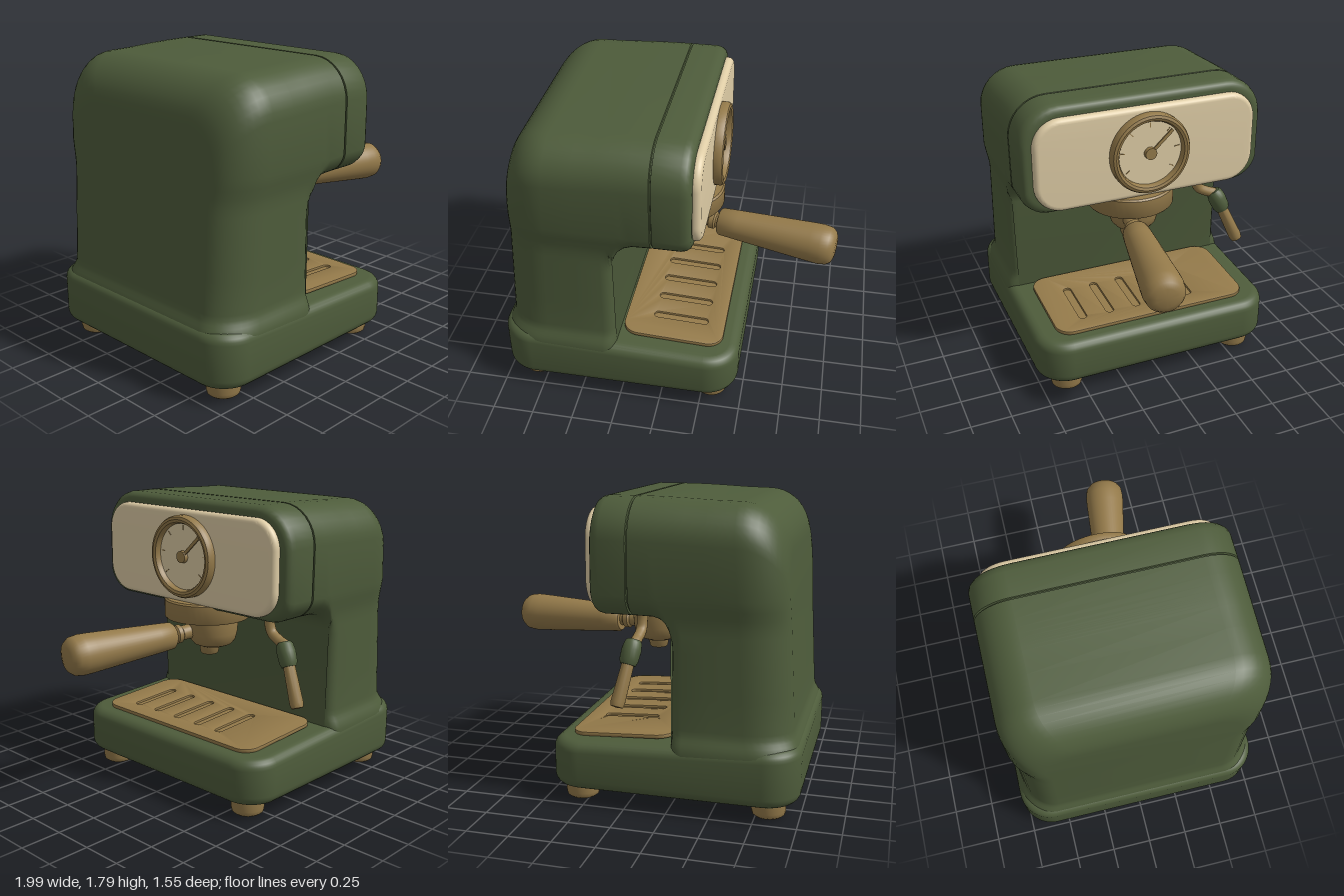
import * as THREE from 'three';
import { toCreasedNormals } from 'three/addons/utils/BufferGeometryUtils.js';

const V = (x, y, z) => new THREE.Vector3(x, y, z);
const smooth = THREE.MathUtils.smoothstep;

export function createModel() {
  const model = new THREE.Group();
  model.name = 'espressoMachine';
  const paint = (name, color) => {
    const m = new THREE.MeshStandardMaterial({ color });
    m.name = name;
    return m;
  };
  const green = paint('olive green', 0x4e5c3b);
  const brass = paint('brass', 0x947a4a);
  const cream = paint('cream', 0xdfcda6);

  const add = (name, geo, mat, pos = [0, 0, 0], parent = model) => {
    const mesh = new THREE.Mesh(geo, mat);
    mesh.name = name;
    mesh.position.set(...pos);
    parent.add(mesh);
    return mesh;
  };
  // Stand a y-axis part at one point so that it aims at another
  const aim = (mesh, from, to) => {
    mesh.position.copy(from);
    mesh.quaternion.setFromUnitVectors(V(0, 1, 0), to.clone().sub(from).normalize());
    return mesh;
  };
  const lathe = (pts, seg = 40) => toCreasedNormals(
    new THREE.LatheGeometry(pts.map(p => new THREE.Vector2(...p)), seg), 0.7);
  const rounded = (cx, cy, w, h, r, Type = THREE.Shape) => {
    const s = new Type(), a = w / 2 - r, b = h / 2 - r;
    s.absarc(cx + a, cy + b, r, 0, Math.PI / 2);
    s.absarc(cx - a, cy + b, r, Math.PI / 2, Math.PI);
    s.absarc(cx - a, cy - b, r, Math.PI, Math.PI * 1.5);
    s.absarc(cx + a, cy - b, r, Math.PI * 1.5, Math.PI * 2);
    s.closePath();
    return s;
  };
  const slab = (shape, depth, bevel, segs = 5) => new THREE.ExtrudeGeometry(shape, {
    depth: depth - 2 * bevel, bevelThickness: bevel, bevelSize: bevel,
    bevelOffset: -bevel, bevelSegments: segs, curveSegments: 10,
  }).translate(0, 0, bevel);

  // Base: rounded slab whose top slopes down to the front
  const base = slab(rounded(-0.265, 0, 1.47, 1.55, 0.2), 0.31, 0.06).rotateX(-Math.PI / 2);
  const bp = base.attributes.position;
  for (let i = 0; i < bp.count; i++) {
    if (bp.getY(i) > 0.15) bp.setY(i, bp.getY(i) - 0.037 * (bp.getX(i) + 0.27));
  }
  add('base', toCreasedNormals(base, 0.6), green, [0, 0.095, 0]);

  add('body', bodyGeometry(), green);

  // Feet
  for (const x of [-0.82, 0.305]) for (const z of [-0.585, 0.585]) {
    add('foot', lathe([[0, 0], [0.08, 0], [0.095, 0.012], [0.1, 0.035], [0.1, 0.12]], 24), brass, [x, 0, z]);
  }

  // Drip tray with five slots
  const tray = new THREE.Group();
  tray.name = 'dripTray';
  tray.position.set(0.055, 0.396, 0);
  tray.rotation.z = -0.05;
  model.add(tray);
  const trayShape = rounded(0, 0, 0.62, 1.27, 0.1);
  for (const z of [0.44, 0.26, 0.08, -0.1, -0.28]) {
    trayShape.holes.push(rounded(0.03, -z, 0.34, 0.05, 0.024, THREE.Path));
  }
  add('trayGrille', toCreasedNormals(slab(trayShape, 0.024, 0.005, 2), 0.6).rotateX(-Math.PI / 2), brass, [0, 0, 0], tray);
  add('trayFloor', new THREE.BoxGeometry(0.5, 0.006, 1.1), brass, [0, 0.007, 0], tray);

  // Front panel
  add('frontPanel', toCreasedNormals(slab(rounded(0, 0, 1.4, 0.57, 0.17), 0.07, 0.03), 0.6)
    .rotateY(Math.PI / 2), cream, [0.165, 1.445, 0]);

  // Pressure gauge, built facing up and turned to face forward
  const gauge = new THREE.Group();
  gauge.name = 'gauge';
  gauge.position.set(0.225, 1.45, 0);
  gauge.rotation.z = -Math.PI / 2;
  model.add(gauge);
  add('gaugeRing', lathe([[0.242, -0.02], [0.25, 0], [0.25, 0.045], [0.242, 0.06], [0.226, 0.066],
    [0.21, 0.06], [0.202, 0.045], [0.2, 0]], 56), brass, [0, 0, 0], gauge);
  add('gaugeFace', new THREE.CylinderGeometry(0.21, 0.21, 0.04, 48), cream, [0, 0.005, 0], gauge);
  add('gaugeHub', new THREE.CylinderGeometry(0.036, 0.038, 0.03, 24), brass, [0, 0.035, 0], gauge);
  const hand = add('gaugeNeedle', new THREE.BoxGeometry(0.19, 0.008, 0.02), brass, [-0.065, 0.037, -0.07], gauge);
  hand.rotation.y = -Math.atan2(0.07, 0.065);
  for (let i = 0; i < 7; i++) {
    const a = (i / 6 - 0.5) * Math.PI * 1.4;
    const tick = add('gaugeTick', new THREE.BoxGeometry(0.03, 0.004, 0.005), brass,
      [-0.175 * Math.cos(a), 0.026, 0.175 * Math.sin(a)], gauge);
    tick.rotation.y = a;
  }

  // Brewing group and filter holder
  add('groupCollar', lathe([[0, 1.04], [0.262, 1.04], [0.27, 1.05], [0.27, 1.155], [0.26, 1.165], [0, 1.165]], 48),
    brass, [0.012, 0, 0.03]);
  add('filterBasket', lathe([[0, 0.85], [0.08, 0.852], [0.12, 0.868], [0.143, 0.895], [0.155, 0.94], [0.16, 1], [0.162, 1.06]]),
    brass, [-0.005, 0, 0]);
  add('spout', lathe([[0, 0.795], [0.05, 0.795], [0.058, 0.805], [0.068, 0.88]], 28), brass, [0, 0, 0.025]);

  // Handle
  const h0 = V(0.265, 0.945, 0.095), h1 = V(0.99, 0.93, 0.215);
  aim(add('handle', lathe([[0, 0], [0.075, 0], [0.085, 0.012], [0.092, 0.12], [0.12, 0.58], [0.122, 0.64],
    [0.115, 0.69], [0.095, 0.718], [0.06, 0.73], [0, 0.734]]), brass), h0, h1);
  aim(add('handleNeck', lathe([[0.048, 0], [0.045, 0.13], [0.058, 0.14], [0.058, 0.17], [0.045, 0.18], [0.045, 0.24]], 24),
    brass), V(0.07, 0.955, 0.06), h0);

  // Steam wand
  const pipe = new THREE.CatmullRomCurve3([V(-0.03, 1.18, -0.45), V(-0.03, 1.06, -0.45), V(-0.03, 1.01, -0.47),
    V(-0.025, 0.975, -0.53), V(-0.02, 0.95, -0.59), V(-0.01, 0.88, -0.625)]);
  add('wandPipe', new THREE.TubeGeometry(pipe, 32, 0.032, 14), brass);
  const w0 = V(-0.018, 0.975, -0.575), w1 = V(0.042, 0.61, -0.735);
  aim(add('wandGrip', lathe([[0, 0], [0.038, 0], [0.05, 0.015], [0.058, 0.06], [0.055, 0.125], [0.045, 0.15], [0, 0.15]], 24),
    green), w0, w1);
  aim(add('wandTip', lathe([[0, 0.13], [0.036, 0.13], [0.042, 0.37], [0.036, 0.398], [0, 0.403]], 24), brass), w0, w1);

  return model;
}

// Body: upright cross-sections lofted from back to front, forming column and head
function bodyGeometry() {
  const stations = [];                       // x, half width, bottom, top, bottom radius, top radius
  const topAt = x => 1.775 + 0.02 * smooth(x, -0.69, -0.03);
  const st = (x, yb, rb, d = 0) => stations.push([x, 0.77 - d, yb + d, topAt(x) - d, rb, 0.23]);
  for (let k = 0; k <= 10; k++) {            // rounded back
    const a = k / 10 * Math.PI / 2, s = Math.sin(a);
    stations.push([-0.69 - 0.26 * Math.cos(a), 0.57 + 0.2 * s, 0.33, 1.515 + 0.26 * s, 0.01, 0.23]);
  }
  for (const x of [-0.5, -0.34, -0.315, -0.295, -0.28, -0.27]) st(x, 0.33, 0.01);
  [[-0.27, 1.02], [-0.26, 1.06], [-0.235, 1.1], [-0.2, 1.122], [-0.15, 1.13]]
    .forEach(([x, y], i) => st(x, y, 0.02 + i * 0.025));
  // seam groove, then the rounded front rim
  [[-0.036, 0], [-0.033, 0.01], [-0.027, 0.01], [-0.024, 0], [0.13, 0], [0.16, 0.006], [0.18, 0.018], [0.188, 0.032], [0.19, 0.045]]
    .forEach(([x, d]) => st(x, 1.13, 0.13, d));

  const sideY = [0.36, 0.39, 0.42, 0.44, 0.46, 0.48, 0.51, 0.7, 0.95, 1, 1.05, 1.1, 1.15, 1.2, 1.26];
  const pos = [], idx = [];
  let n = 0;
  for (const [x, w, yb, yt, rb, rt] of stations) {
    const half = [];
    const arc = (r, cy, from) => {
      for (let k = 0; k <= 8; k++) {
        const a = from + k / 8 * Math.PI / 2;
        half.push([w - r + r * Math.cos(a), cy + r * Math.sin(a)]);
      }
    };
    arc(rb, yb + rb, -Math.PI / 2);
    for (const y of sideY) half.push([w, Math.max(yb + rb, y)]);
    arc(rt, yt - rt, 0);
    const ring = [...half, ...half.slice().reverse().map(([z, y]) => [-z, y])];
    n = ring.length;
    for (const [z, y] of ring) {
      // narrower column, rounded column front edge, flared foot and leaning back
      const e = THREE.MathUtils.clamp((x + 0.34) / 0.07, 0, 1);
      const flare = 0.035 * (1 - smooth(y, 0.38, 0.5));
      const inset = 0.033 * (1 - smooth(y, 1.08, 1.3)) - flare
        + 0.07 * (1 - Math.sqrt(1 - e * e)) * (1 - smooth(y, 0.95, 1.1));
      const back = THREE.MathUtils.clamp((-0.3 - x) / 0.4, 0, 1);
      const lean = 0.057 * Math.max(0, y - 0.45) - flare;
      pos.push(x + back * lean, y, Math.sign(z) * (Math.abs(z) - inset));
    }
  }
  const last = (stations.length - 1) * n;
  for (let s = 0; s < last; s += n) for (let i = 0; i < n; i++) {
    const j = (i + 1) % n;
    idx.push(s + i, s + n + i, s + j, s + j, s + n + i, s + n + j);
  }
  for (let i = 0; i < n / 2 - 1; i++) {      // end faces
    const q = n - 1 - i;
    idx.push(last + q, last + q - 1, last + i, last + i, last + q - 1, last + i + 1);
    idx.push(q, i, q - 1, i, i + 1, q - 1);
  }
  const geo = new THREE.BufferGeometry();
  geo.setAttribute('position', new THREE.Float32BufferAttribute(pos, 3));
  geo.setIndex(idx);
  return toCreasedNormals(geo, 0.7);
}
